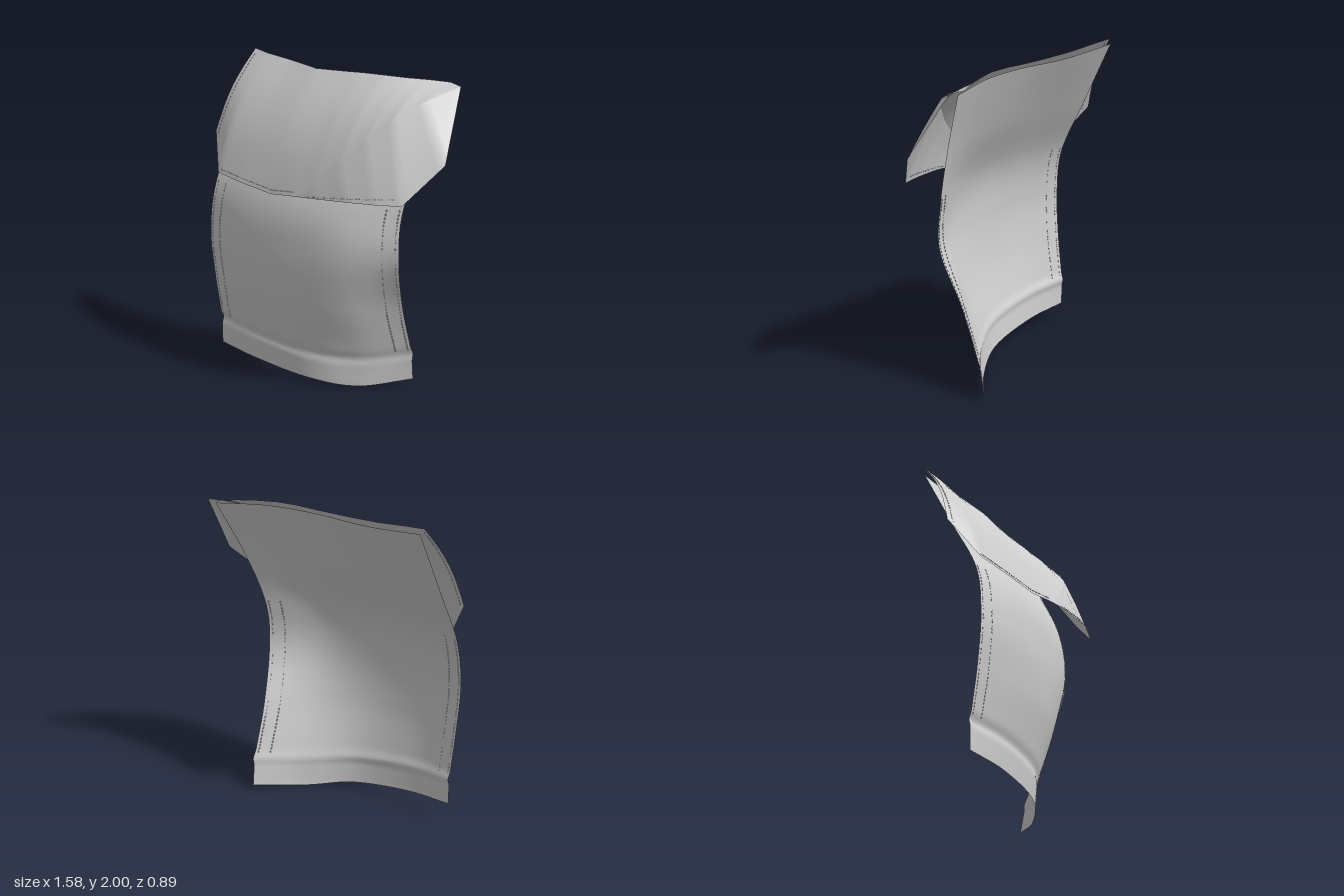
import * as THREE from 'three';
import { mergeGeometries } from 'three/addons/utils/BufferGeometryUtils.js';

const cloth = new THREE.MeshStandardMaterial({ color: 0xcfcfcf, side: THREE.DoubleSide });
cloth.name = 'light grey cloth';

const vecs = (pts) => pts.map((p) => new THREE.Vector3(...p));

// Smooth surface through rows of points, u across and v upwards
function splineSurface(rows) {
  const curves = rows.map((r) => new THREE.CatmullRomCurve3(vecs(r), false, 'catmullrom'));
  return (u, v) => new THREE.CatmullRomCurve3(curves.map((c) => c.getPoint(u)), false, 'catmullrom').getPoint(v);
}

// Surface between two polylines of equal length, puffed out in the middle
function bridgeSurface(lower, upper, puff) {
  const a = vecs(lower), b = vecs(upper), n = a.length - 1;
  const out = new THREE.Vector3(0, 0.5, 0.85);
  const at = (p, u) => {
    const i = Math.min(Math.floor(u * n + 1e-6), n - 1);
    return p[i].clone().lerp(p[i + 1], u * n - i);
  };
  return (u, v) => {
    const p = at(a, u), q = at(b, u);
    const bulge = puff * p.distanceTo(q) * Math.sin(Math.PI * v);
    return p.lerp(q, v).addScaledVector(out, bulge);
  };
}

// Grid mesh of a surface, front side towards +z
function sheet(name, surface, nu, nv) {
  const pos = [], index = [];
  for (let j = 0; j <= nv; j++) {
    for (let i = 0; i <= nu; i++) {
      pos.push(...surface(i / nu, j / nv).toArray());
      if (i < nu && j < nv) {
        const a = j * (nu + 1) + i, c = a + nu + 1;
        index.push(a, a + 1, c, a + 1, c + 1, c);
      }
    }
  }
  const g = new THREE.BufferGeometry();
  g.setAttribute('position', new THREE.Float32BufferAttribute(pos, 3));
  g.setIndex(index);
  g.computeVertexNormals();
  const m = new THREE.Mesh(g, cloth);
  m.name = name;
  return m;
}

// Row of tiny thread stitches lying on a surface
function stitches(name, surface, from, to, count) {
  const at = (t) => surface(from[0] + (to[0] - from[0]) * t, from[1] + (to[1] - from[1]) * t);
  const parts = [];
  for (let k = 0; k < count; k++) {
    const p = at((k + 0.25) / count), q = at((k + 0.75) / count);
    const g = new THREE.BoxGeometry(0.005, 0.005, p.distanceTo(q));
    const o = new THREE.Object3D();
    o.position.copy(p).lerp(q, 0.5);
    o.lookAt(q);
    o.updateMatrix();
    parts.push(g.applyMatrix4(o.matrix));
  }
  const m = new THREE.Mesh(mergeGeometries(parts), cloth);
  m.name = name;
  return m;
}

export function createModel() {
  const group = new THREE.Group();
  group.name = 'clothPocket';

  // Curved body panel, from the lower hem to the top edge
  const base = splineSurface([
    [[-0.66, 0.11, 0.38], [-0.35, 0.085, 0.315], [0, 0.04, 0.17], [0.22, 0.0, -0.05], [0.40, 0.03, -0.35]],
    [[-0.66, 0.31, 0.385], [-0.35, 0.29, 0.335], [0, 0.25, 0.20], [0.23, 0.22, -0.02], [0.42, 0.24, -0.31]],
    [[-0.655, 0.6, 0.425], [-0.33, 0.6, 0.39], [0, 0.58, 0.285], [0.26, 0.56, 0.10], [0.46, 0.56, -0.20]],
    [[-0.655, 0.9, 0.447], [-0.33, 0.9, 0.41], [0, 0.9, 0.31], [0.29, 0.9, 0.16], [0.54, 0.9, -0.09]],
    [[-0.655, 1.2, 0.40], [-0.33, 1.2, 0.355], [0, 1.2, 0.265], [0.29, 1.2, 0.12], [0.54, 1.2, -0.11]],
    [[-0.69, 1.55, 0.22], [-0.35, 1.55, 0.17], [0, 1.55, 0.07], [0.3, 1.55, -0.06], [0.56, 1.55, -0.24]],
    [[-0.73, 1.97, 0.0], [-0.36, 1.93, -0.05], [0, 1.93, -0.13], [0.3, 1.93, -0.25], [0.59, 1.91, -0.42]],
  ]);
  // Shallow groove where the hem is sewn
  const body = (u, v) => {
    const p = base(u, v);
    p.z -= 0.014 * Math.exp(-(((v - 0.15) / 0.022) ** 2));
    return p;
  };
  group.add(sheet('bodyPanel', body, 40, 90));
  for (const [side, edge] of [['right', 0.015], ['right', 0.07], ['left', 0.985], ['left', 0.93]]) {
    group.add(stitches(side + 'SideStitching', body, [edge, 0.17], [edge, 0.68], 45));
  }

  // Flap: the diagonal fold joins the main part and the folded corner
  const fold = [[0.05, 1.265, 0.30], [0.17, 1.38, 0.24], [0.30, 1.51, 0.16], [0.41, 1.64, 0.06],
    [0.50, 1.76, -0.06], [0.58, 1.85, -0.22], [0.65, 1.925, -0.435]];
  const flapTop = [[-0.74, 2.0, 0.02], [-0.62, 1.985, 0.01], [-0.42, 1.965, -0.03], [-0.2, 1.945, -0.05],
    [0, 1.95, -0.12], [0.12, 1.955, -0.16], [0.25, 1.955, -0.21], [0.37, 1.95, -0.28],
    [0.47, 1.945, -0.36], [0.56, 1.935, -0.44], [0.65, 1.925, -0.435]];
  const flapBottom = [[-0.79, 1.5, 0.30], [-0.62, 1.28, 0.40], [-0.4, 1.26, 0.375], [-0.15, 1.24, 0.335], ...fold];
  const cornerEdge = [[0.05, 1.265, 0.30], [0.20, 1.28, 0.265], [0.40, 1.295, 0.195], [0.56, 1.303, 0.115],
    [0.69, 1.31, 0.03], [0.79, 1.53, -0.20], [0.65, 1.925, -0.435]];

  const flap = bridgeSurface(flapBottom, flapTop, 0.06);
  const corner = bridgeSurface(cornerEdge, fold, 0.02);
  group.add(sheet('flap', flap, 60, 20));
  group.add(sheet('flapCorner', corner, 36, 12));

  // Thread along the flap edges
  group.add(stitches('flapSideStitching', flap, [0.02, 0.05], [0.02, 0.95], 24));
  group.add(stitches('flapBottomStitching', flap, [0.1, 0.03], [0.39, 0.03], 36));
  group.add(stitches('cornerBottomStitching', corner, [0.1, 0.08], [0.64, 0.08], 30));
  return group;
}
